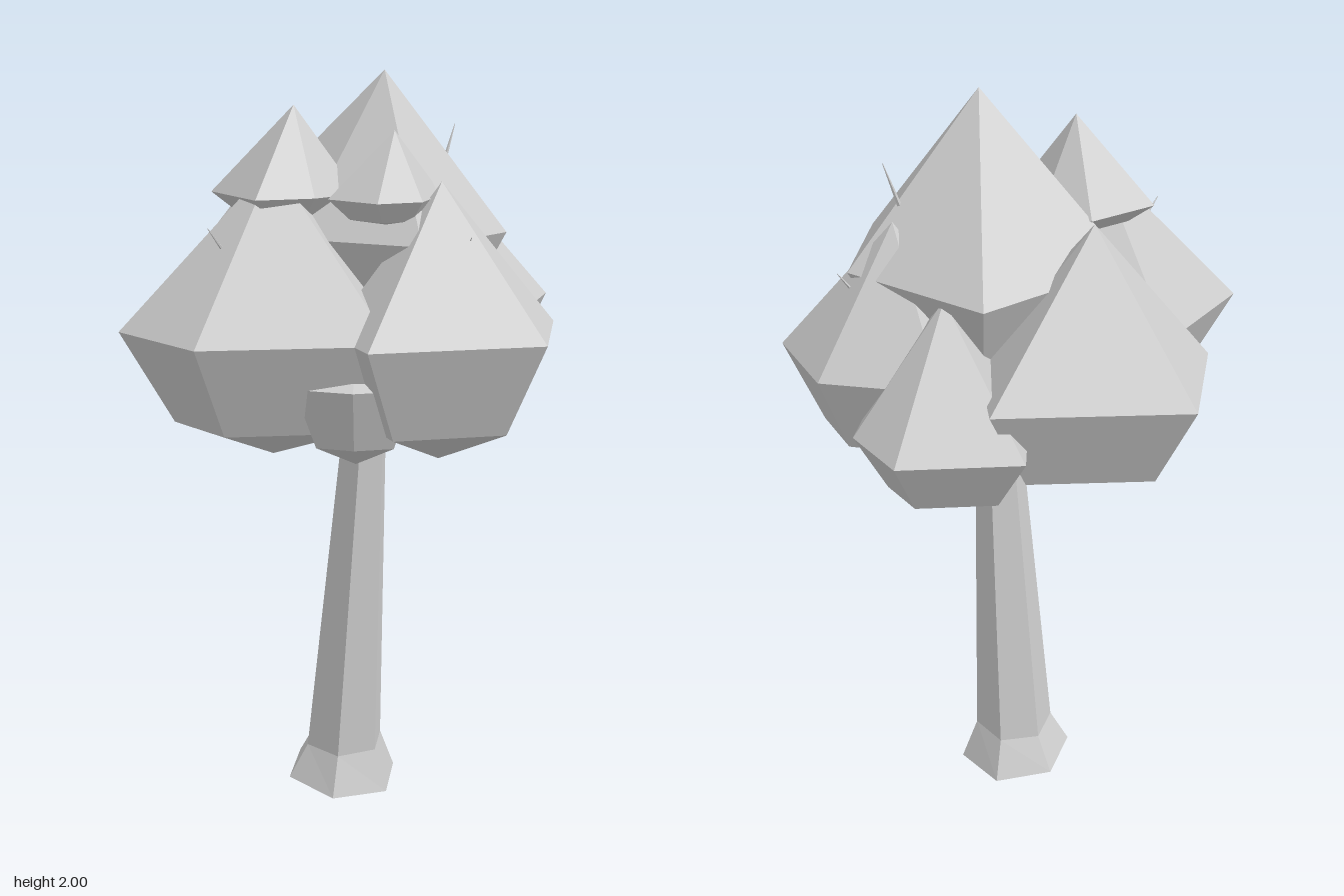
import * as THREE from 'three';

const grey = new THREE.MeshStandardMaterial({ color: 0xcccccc, side: THREE.DoubleSide });
grey.name = 'plain grey';

// Skin a stack of equal-length loops, bottom to top; a loop of equal points closes an end.
function loft(name, loops) {
  const pos = [];
  const n = loops[0].length;
  for (let k = 0; k < loops.length - 1; k++) {
    for (let i = 0; i < n; i++) {
      const j = (i + 1) % n;
      const [a, b, c, d] = [loops[k][i], loops[k][j], loops[k + 1][j], loops[k + 1][i]];
      pos.push(...a, ...c, ...b, ...a, ...d, ...c);
    }
  }
  const geo = new THREE.BufferGeometry();
  geo.setAttribute('position', new THREE.Float32BufferAttribute(pos, 3));
  geo.computeVertexNormals();
  const mesh = new THREE.Mesh(geo, grey);
  mesh.name = name;
  return mesh;
}

// Faceted leaf clump: a six-sided ring under a point, tapering to a shallow underside.
// Three outer corners are given; the inner three are their reflections, scaled by reach.
function clump(name, apex, outer, ringY = 1.4, drop = 0.33, reach = 0.92) {
  const [ax, , az] = apex;
  const inner = outer.map(([x, z]) => [ax - reach * (x - ax), az - reach * (z - az)]);
  const ring = [...outer, ...inner];
  const cx = ring.reduce((s, p) => s + p[0], 0) / 6;
  const cz = ring.reduce((s, p) => s + p[1], 0) / 6;
  const at = (k, y) => ring.map(([x, z]) => [cx + (x - cx) * k, y, cz + (z - cz) * k]);
  return loft(name, [
    at(0, ringY - drop), at(0.66, ringY - 0.7 * drop), at(1, ringY), ring.map(() => apex),
  ]);
}

// Six-sided hollow trunk with a flared foot, leaning slightly as it rises.
function trunk() {
  const profile = [[0.01, 0.163], [0.12, 0.113], [1.05, 0.064], [1.2, 0.06], [1.2, 0]];
  return loft('trunk', profile.map(([y, r], k) =>
    Array.from({ length: 6 }, (_, i) => {
      const a = THREE.MathUtils.degToRad(33 + 60 * i);
      const tilt = k === 0 ? 0.012 * Math.cos(a) : 0;
      return [-0.015 + 0.062 * y + r * Math.cos(a), y - tilt, -0.028 + 0.048 * y + r * Math.sin(a)];
    })));
}

// Thin branch from the trunk top whose tip pokes through the leaves.
function branch(x, y, z) {
  const from = new THREE.Vector3(0.05, 1.02, 0.02);
  const dir = new THREE.Vector3(x, y, z).sub(from);
  const geo = new THREE.CylinderGeometry(0.001, 0.042, dir.length(), 5).toNonIndexed();
  geo.computeVertexNormals();
  const mesh = new THREE.Mesh(geo, grey);
  mesh.position.copy(from).addScaledVector(dir, 0.5);
  mesh.quaternion.setFromUnitVectors(new THREE.Vector3(0, 1, 0), dir.normalize());
  mesh.name = 'branch';
  return mesh;
}

export function createModel() {
  const tree = new THREE.Group();
  tree.name = 'tree';

  tree.add(
    trunk(),
    branch(0.27, 1.86, -0.17),
    branch(-0.28, 1.65, 0.4),
    branch(0.35, 1.62, -0.29),
    branch(0.33, 1.63, 0.34),
  );

  // Large clumps of the crown
  tree.add(
    clump('crownTop', [0.1, 2, 0.04], [[-0.3, -0.01], [-0.05, -0.39], [0.34, -0.255]], 1.61, 0.31, 0.78),
    clump('crownBackRight', [-0.24, 1.755, -0.14], [[-0.505, 0], [-0.54, -0.326], [-0.095, -0.49]]),
    clump('crownFrontRight', [-0.15, 1.79, 0.24], [[0.16, 0.49], [-0.28, 0.587], [-0.505, 0.395]], 1.4, 0.33, 0.8),
    clump('crownFrontLeft', [0.255, 1.75, 0.26], [[0.535, 0.14], [0.51, 0.45], [0.11, 0.575]]),
    clump('crownBackLeft', [0.24, 1.73, -0.2], [[0.35, -0.44], [0.53, -0.258], [0.46, 0.04]], 1.4, 0.3, 0.85),
    clump('crownBack', [0.07, 1.6, -0.32], [[-0.18, -0.485], [0.1, -0.595], [0.25, -0.48]], 1.29, 0.22),
  );

  // Small tufts at the front
  tree.add(
    clump('smallTuftRight', [-0.11, 1.92, 0.166], [[-0.175, 0.355], [-0.32, 0.155], [-0.2, -0.005]], 1.71, 0.07, 0.75),
    clump('smallTuftLeft', [0.14, 1.865, 0.23], [[0.215, 0.345], [0.115, 0.4], [-0.01, 0.31]], 1.71, 0.07, 0.75),
    clump('lowFrontTuft', [0.06, 1.37, 0.33], [[0.21, 0.46], [0.07, 0.505], [-0.07, 0.48]], 1.29, 0.22),
  );
  return tree;
}
